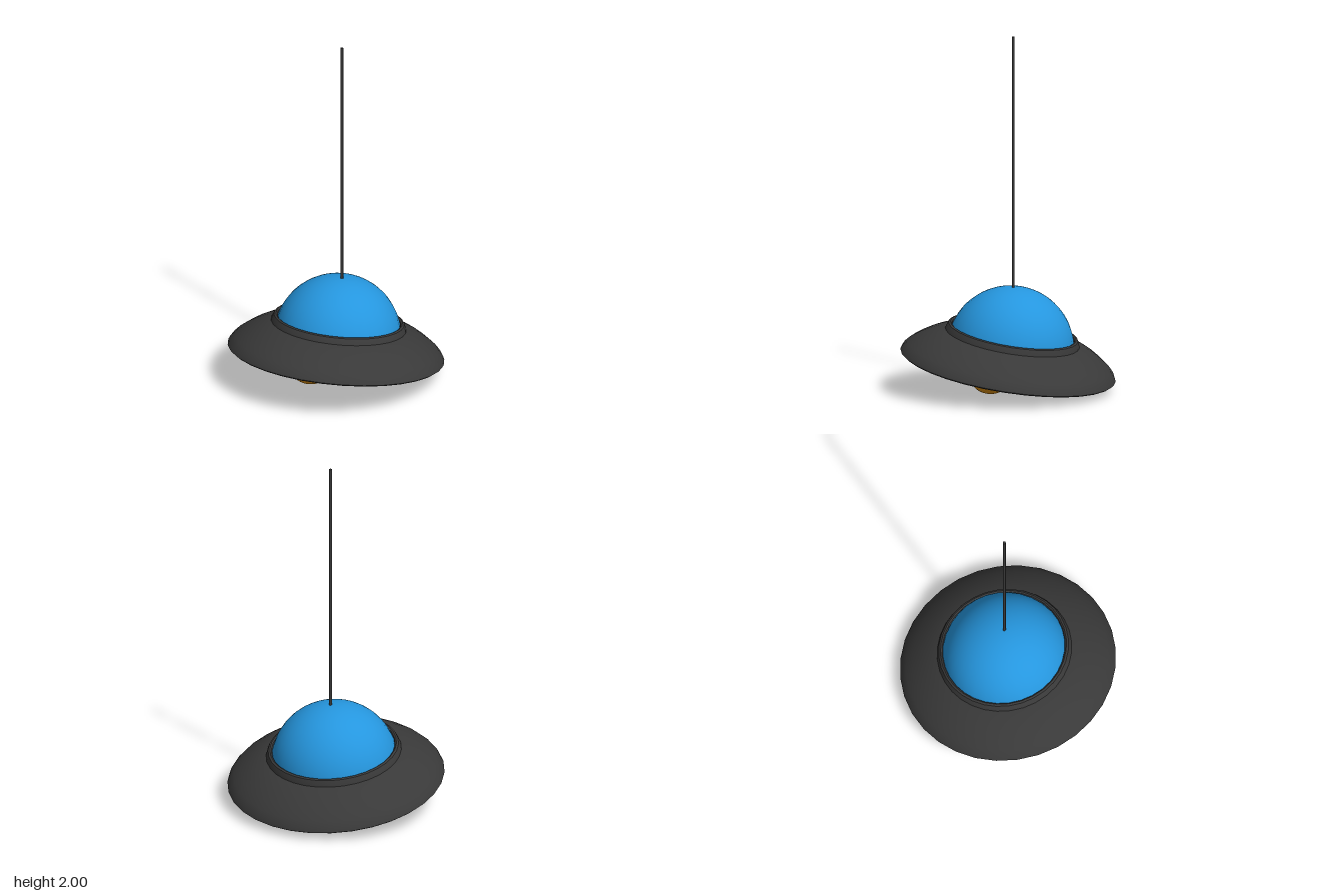
import * as THREE from 'three';
import { toCreasedNormals } from 'three/addons/utils/BufferGeometryUtils.js';

const material = (name, color) => {
  const m = new THREE.MeshStandardMaterial({ color });
  m.name = name;
  return m;
};

export function createModel() {
  const grey = material('dark grey', 0x393939);
  const blue = material('dome blue', 0x2596de);
  const amber = material('lamp amber', 0xdd9010);

  const model = new THREE.Group();
  model.name = 'saucerOnRod';

  // Everything but the rod leans with the saucer
  const saucer = new THREE.Group();
  saucer.name = 'saucer';
  saucer.position.y = 0.135;
  saucer.quaternion.setFromUnitVectors(
    new THREE.Vector3(0, 1, 0),
    new THREE.Vector3(0.1, 1, -0.138).normalize()
  );
  model.add(saucer);

  const add = (parent, name, geometry, mat) => {
    const mesh = new THREE.Mesh(geometry, mat);
    mesh.name = name;
    parent.add(mesh);
    return mesh;
  };

  // Turned part: profile of [radius, height], from the underside outwards and up
  const turn = (name, profile) => {
    const points = profile.map(([r, y]) => new THREE.Vector2(r, y));
    const geometry = toCreasedNormals(new THREE.LatheGeometry(points, 32), 0.6);
    return add(saucer, name, geometry, grey);
  };

  // Flat underside, thin rim and domed upper shell
  turn('hull', [
    [0.12, 0], [0.595, 0], [0.605, 0.008], [0.596, 0.028], [0.567, 0.06],
    [0.525, 0.092], [0.475, 0.125], [0.42, 0.152], [0.365, 0.172], [0.33, 0.178],
  ]);

  // Raised collar around the dome
  turn('collar', [
    [0.378, 0.165], [0.374, 0.18], [0.364, 0.202], [0.353, 0.207],
    [0.345, 0.202], [0.338, 0.185],
  ]);

  // Hollow hub under the hull
  turn('hub', [
    [0, 0.015], [0.115, 0.015], [0.125, -0.03], [0.138, -0.036],
    [0.155, -0.033], [0.205, -0.008], [0.215, 0.002],
  ]);

  // Dome cap of a sphere
  const dome = add(saucer, 'dome',
    new THREE.SphereGeometry(0.354, 32, 20, 0, Math.PI * 2, 0, 1.34), blue);
  dome.position.y = 0.1;

  // Four lamps spaced evenly under the hull
  for (let i = 0; i < 4; i++) {
    const a = 0.44 + (i * Math.PI) / 2;
    const lamp = add(saucer, 'lamp' + (i + 1),
      new THREE.SphereGeometry(0.1, 24, 10, 0, Math.PI * 2, Math.PI / 2, Math.PI / 2), amber);
    lamp.scale.y = 0.69;
    lamp.position.set(Math.cos(a) * 0.4, 0, Math.sin(a) * 0.4);
  }

  // Upright rod out of the top of the dome
  const rod = add(model, 'rod', new THREE.CylinderGeometry(0.008, 0.008, 1.43, 12), grey);
  rod.position.set(0.035, 1.285, -0.025);

  return model;
}
